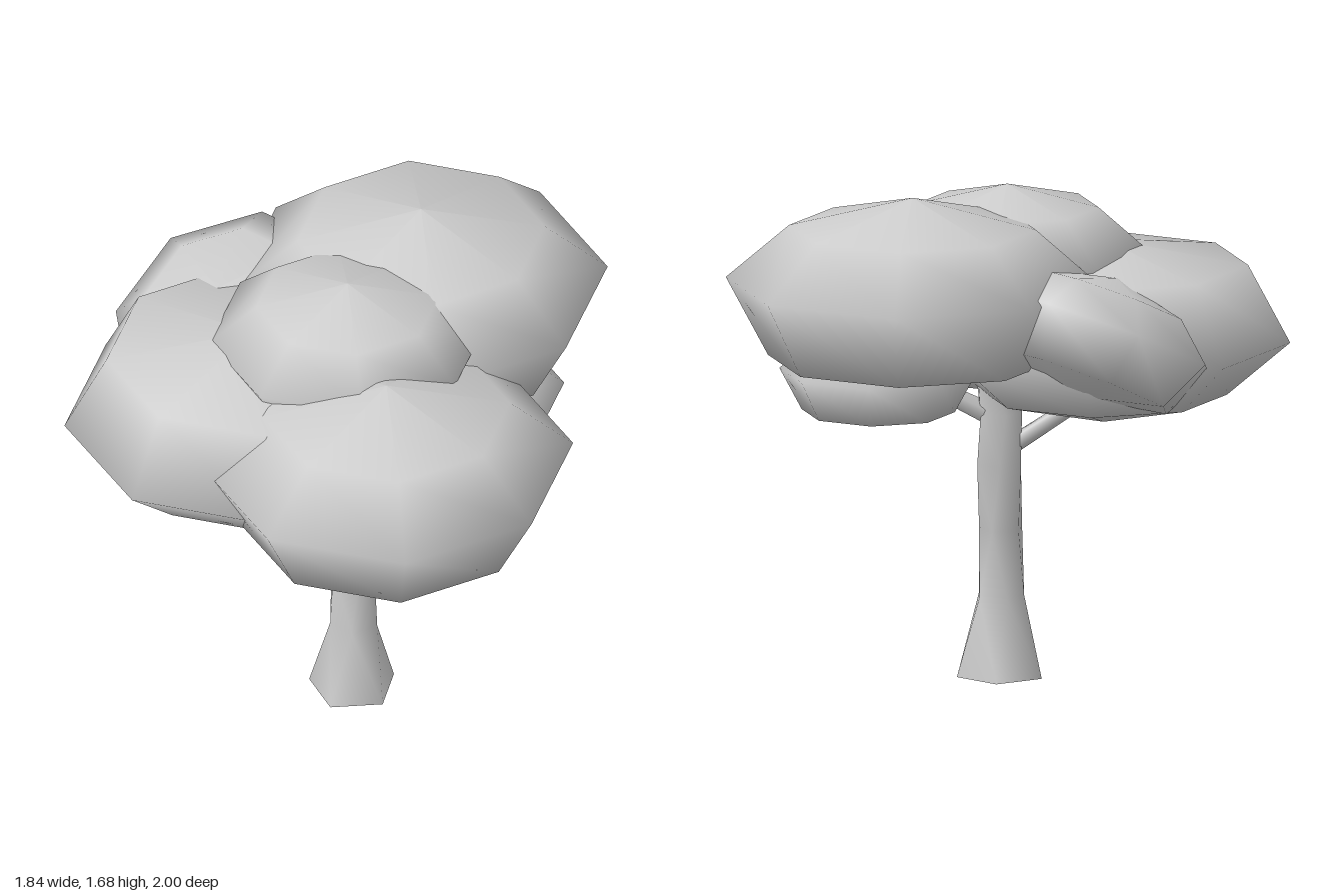
import * as THREE from 'three';

const material = new THREE.MeshStandardMaterial({ color: 0xcccccc });

// Flattened eight-sided foliage clump, unit measured at full size
function makeFoliage() {
  const profile = [[0, -0.34], [0.48, -0.26], [0.62, 0], [0.41, 0.18], [0, 0.28]];
  return new THREE.LatheGeometry(profile.map(([r, y]) => new THREE.Vector2(r, y)), 8);
}

// Twisting five-sided trunk lofted through rings of [x, y, z, radius, twist in degrees]
function makeTrunk(rings, sides = 5) {
  const pos = [], index = [];
  for (const [x, y, z, r, twist] of rings) {
    for (let i = 0; i < sides; i++) {
      const a = THREE.MathUtils.degToRad(twist + (i * 360) / sides);
      pos.push(x + r * Math.sin(a), y, z + r * Math.cos(a));
    }
  }
  for (let k = 0; k < rings.length - 1; k++) {
    for (let i = 0; i < sides; i++) {
      const a = k * sides + i, b = k * sides + ((i + 1) % sides);
      index.push(a, b, a + sides, b, b + sides, a + sides);
    }
  }
  const geometry = new THREE.BufferGeometry();
  geometry.setAttribute('position', new THREE.Float32BufferAttribute(pos, 3));
  geometry.setIndex(index);
  geometry.computeVertexNormals();
  return geometry;
}

export function createModel() {
  const tree = new THREE.Group();
  tree.name = 'tree';

  const add = (name, geometry) => {
    const mesh = new THREE.Mesh(geometry, material);
    mesh.name = name;
    tree.add(mesh);
    return mesh;
  };

  // Trunk with flared foot
  add('trunk', makeTrunk([
    [0.04, 0, -0.04, 0.148, 36],
    [0.045, 0.27, -0.035, 0.082, 60],
    [0.035, 0.5, -0.05, 0.076, 88],
    [0.04, 0.73, -0.105, 0.076, 116],
    [0.04, 0.9, -0.085, 0.075, 130],
    [0.07, 1.12, -0.12, 0.06, 140],
  ]));

  // Flat underside of the trunk
  const base = add('trunkBase', new THREE.CircleGeometry(0.148, 5));
  base.rotation.set(Math.PI / 2, 0, THREE.MathUtils.degToRad(54));
  base.position.set(0.04, 0, -0.04);

  // Branches reaching into the foliage
  const branch = (name, from, to, r0, r1) => {
    const a = new THREE.Vector3(...from), b = new THREE.Vector3(...to);
    const dir = b.clone().sub(a);
    const mesh = add(name, new THREE.CylinderGeometry(r1, r0, dir.length(), 5));
    mesh.position.copy(a).add(b).multiplyScalar(0.5);
    mesh.quaternion.setFromUnitVectors(new THREE.Vector3(0, 1, 0), dir.normalize());
  };
  branch('rightBranch', [0.01, 0.78, -0.09], [-0.3, 0.98, -0.02], 0.032, 0.025);
  branch('frontBranch', [0.04, 0.89, -0.08], [0.1, 1.0, 0.28], 0.045, 0.025);
  branch('leftBranch', [0.05, 0.88, -0.09], [0.35, 1.05, -0.2], 0.04, 0.025);

  // Foliage clumps: position of the widest ring, scale, upside down or not
  const foliage = makeFoliage();
  const clumps = [
    ['frontFoliage', [0.11, 1.24, 0.375], 1, false],
    ['backFoliage', [0.3, 1.4, -0.38], 1, false],
    ['rightFoliage', [-0.3, 1.14, -0.025], 1, true],
    ['topFoliage', [0.02, 1.45, -0.02], 0.74, false],
    ['lowerLeftFoliage', [0.43, 1.06, -0.21], 0.53, false],
    ['backRightFoliage', [-0.32, 1.25, -0.42], 0.67, false],
  ];
  for (const [name, position, scale, flipped] of clumps) {
    const mesh = add(name, foliage);
    mesh.position.set(...position);
    mesh.scale.setScalar(scale);
    if (flipped) mesh.rotation.x = Math.PI;
  }

  // The back right clump droops outward
  const droop = tree.getObjectByName('backRightFoliage');
  droop.quaternion.setFromAxisAngle(new THREE.Vector3(1, 0, 1).normalize(), 0.45);
  droop.rotateY(Math.PI / 8);

  return tree;
}
